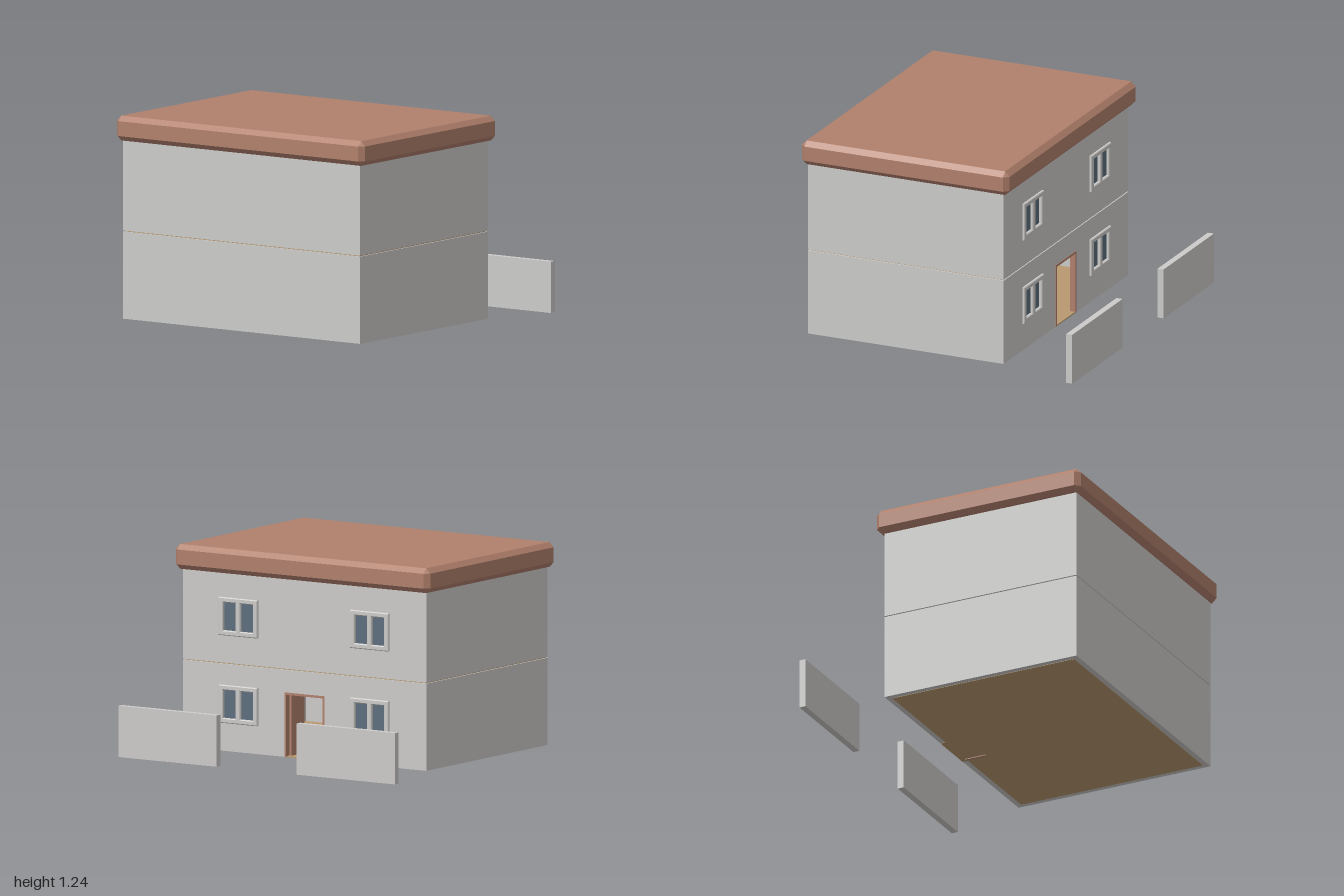
import * as THREE from 'three';
import { ConvexGeometry } from 'three/addons/geometries/ConvexGeometry.js';

const X = 0.88, Z0 = -0.41, Z1 = 0.88, T = 0.035; // house footprint and wall thickness
const ZC = (Z0 + Z1) / 2;

function material(name, color) {
  const m = new THREE.MeshStandardMaterial({ color });
  m.name = name;
  return m;
}

// Box given by its minimum and maximum corners
function box(name, mat, [x0, y0, z0], [x1, y1, z1]) {
  const m = new THREE.Mesh(new THREE.BoxGeometry(x1 - x0, y1 - y0, z1 - z0), mat);
  m.position.set((x0 + x1) / 2, (y0 + y1) / 2, (z0 + z1) / 2);
  m.name = name;
  return m;
}

function rect(path, x0, y0, x1, y1) {
  path.moveTo(x0, y0).lineTo(x1, y0).lineTo(x1, y1).lineTo(x0, y1).closePath();
  return path;
}

// Box with every edge chamfered by c
function chamferBox(name, mat, hx, hy, hz, c) {
  const pts = [];
  for (const sx of [-1, 1]) for (const sy of [-1, 1]) for (const sz of [-1, 1]) {
    pts.push(
      new THREE.Vector3(sx * hx, sy * (hy - c), sz * (hz - c)),
      new THREE.Vector3(sx * (hx - c), sy * hy, sz * (hz - c)),
      new THREE.Vector3(sx * (hx - c), sy * (hy - c), sz * hz));
  }
  const m = new THREE.Mesh(new ConvexGeometry(pts), mat);
  m.name = name;
  return m;
}

export function createModel() {
  const wall = material('wallGrey', 0xcccbc9);
  const terracotta = material('terracotta', 0xb1806c);
  const wood = material('floorWood', 0xb8996f);
  const glass = material('windowGlass', 0x5c6e7c);
  const house = new THREE.Group();
  house.name = 'house';

  const winX = 0.475, winW = 0.14, winH = 0.115; // window centre and half sizes
  const doorX = 0.145, doorTop = 0.4;

  // Window: bevelled frame with two openings and a glass sheet
  function windowUnit(x, y) {
    const g = new THREE.Group();
    g.name = 'window';
    const s = rect(new THREE.Shape(), -winW + 0.005, -winH + 0.005, winW - 0.005, winH - 0.005);
    for (const side of [-1, 1]) {
      const a = side * 0.012, b = side * 0.112;
      s.holes.push(rect(new THREE.Path(), Math.min(a, b), -0.09, Math.max(a, b), 0.09));
    }
    const frame = new THREE.Mesh(new THREE.ExtrudeGeometry(s, {
      depth: T + 0.005, bevelEnabled: true, bevelSize: 0.005, bevelThickness: 0.005, bevelSegments: 1,
    }), wall);
    frame.name = 'windowFrame';
    frame.position.z = Z0 - 0.01;
    g.add(frame, box('windowPane', glass, [-0.115, -0.093, Z0 + 0.004], [0.115, 0.093, Z0 + 0.01]));
    g.position.set(x, y, 0);
    return g;
  }

  // Two storeys separated by a fine seam
  [[0.01, 0.537, 0.295], [0.543, 1.09, 0.825]].forEach(([y0, y1, winY], i) => {
    const storey = new THREE.Group();
    storey.name = i ? 'upperStorey' : 'lowerStorey';
    storey.add(box('frontWall', wall, [-X, y0, Z1 - T], [X, y1, Z1]));
    for (const s of [-1, 1]) {
      const a = s * X, b = s * (X - T);
      storey.add(box('sideWall', wall, [Math.min(a, b), y0, Z0 + T], [Math.max(a, b), y1, Z1 - T]));
    }
    // Back wall with window holes, and a doorway on the lower storey
    const shape = new THREE.Shape();
    shape.moveTo(-X, y0);
    if (i === 0) shape.lineTo(-doorX, y0).lineTo(-doorX, doorTop).lineTo(doorX, doorTop).lineTo(doorX, y0);
    shape.lineTo(X, y0).lineTo(X, y1).lineTo(-X, y1).closePath();
    for (const s of [-1, 1]) {
      const cx = s * winX;
      shape.holes.push(rect(new THREE.Path(), cx - 0.12, winY - 0.098, cx + 0.12, winY + 0.098));
      storey.add(windowUnit(cx, winY));
    }
    const back = new THREE.Mesh(new THREE.ExtrudeGeometry(shape, { depth: T, bevelEnabled: false }), wall);
    back.name = 'backWall';
    back.position.z = Z0;
    storey.add(back);
    house.add(storey);
  });

  // Floors
  house.add(box('groundFloor', wood, [-X + T, 0.008, Z0 + T], [X - T, 0.016, Z1 - T]));
  house.add(box('doorSill', wood, [-doorX, 0.008, Z0], [doorX, 0.016, Z0 + T]));
  house.add(box('upperFloor', wood, [-X + 0.01, 0.534, Z0 + 0.01], [X - 0.01, 0.546, Z1 - 0.01]));

  // Door frame and the leaf standing open inwards
  const f = 0.014;
  for (const s of [-1, 1]) {
    const a = s * doorX, b = s * (doorX - f);
    house.add(box('doorJamb', terracotta, [Math.min(a, b), 0.01, Z0 - 0.003], [Math.max(a, b), doorTop, Z0 + T]));
  }
  house.add(box('doorHead', terracotta, [-doorX + f, doorTop - f, Z0 - 0.003], [doorX - f, doorTop, Z0 + T]));
  house.add(box('doorLeaf', terracotta, [0.115, 0.003, -0.38], [0.129, doorTop - f, -0.24]));

  // Flat roof slab with chamfered edges
  const roof = chamferBox('roof', terracotta, 0.92, 0.075, 0.685, 0.03);
  roof.position.set(0, 1.162, ZC - 0.005);
  house.add(roof);

  // Garden walls
  for (const s of [-1, 1]) {
    const a = s * 0.29, b = s;
    house.add(box('gardenWall', wall, [Math.min(a, b), 0, -0.92], [Math.max(a, b), 0.31, -0.88]));
  }
  return house;
}
